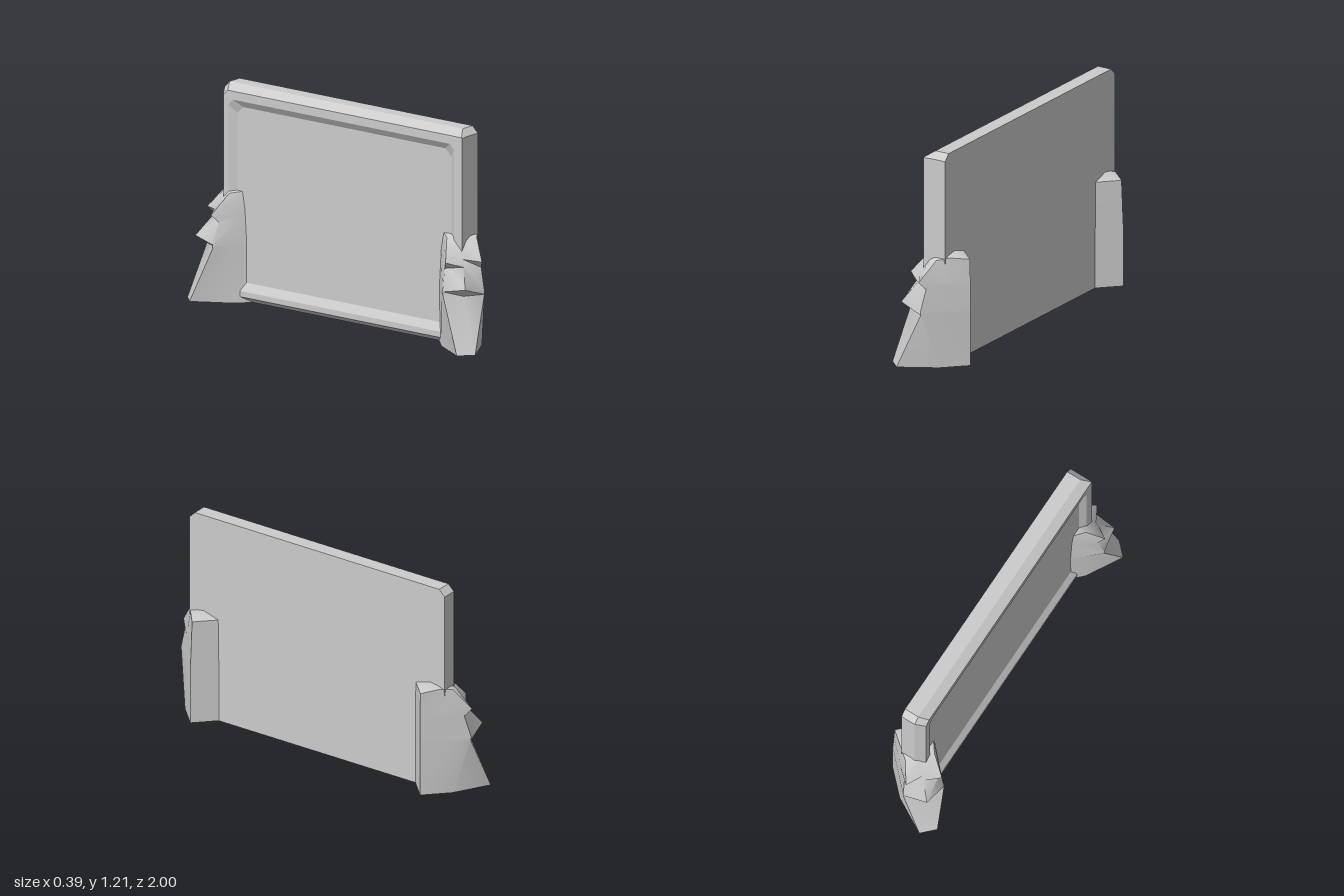
import * as THREE from 'three';
import { toCreasedNormals } from 'three/addons/utils/BufferGeometryUtils.js';

const V = (x, y, z) => new THREE.Vector3(x, y, z);

// Closed solid through rings of equal point count, each end fanned to a centre point
function loft(rings, startCentre, endCentre, crease) {
  const tris = [];
  const n = rings[0].length;
  const last = rings.length - 1;
  for (let j = 0; j < n; j++) {
    const k = (j + 1) % n;
    tris.push([startCentre, rings[0][k], rings[0][j]]);
    tris.push([endCentre, rings[last][j], rings[last][k]]);
    for (let i = 0; i < last; i++) {
      const a = rings[i][j], b = rings[i][k], c = rings[i + 1][k], d = rings[i + 1][j];
      tris.push([a, b, c], [a, c, d]);
    }
  }
  // Signed volume decides which way the faces must wind
  const volume = tris.reduce((s, [a, b, c]) => s + a.dot(b.clone().cross(c)), 0);
  if (volume < 0) tris.forEach((t) => t.reverse());
  const geometry = new THREE.BufferGeometry().setFromPoints(tris.flat());
  return toCreasedNormals(geometry, crease);
}

function centre(ring) {
  return ring.reduce((s, p) => s.add(p), V(0, 0, 0)).divideScalar(ring.length);
}

// Board: flat on +x, bevelled rim and shallow tray with sloping walls on -x
function boardGeometry() {
  const ring = (x, z0, z1, y0, y1, cut0, cut1) => [
    V(x, y0, z0), V(x, y1 - cut0, z0), V(x, y1, z0 + cut0),
    V(x, y1, z1 - cut1), V(x, y1 - cut1, z1), V(x, y0, z1),
  ];
  const rings = [
    ring(0.085, -0.845, 0.845, 0, 1.207, 0.036, 0.036),
    ring(0, -0.845, 0.845, 0, 1.207, 0.036, 0.036),
    ring(-0.052, -0.812, 0.845, 0.035, 1.172, 0.03, 0.003),
    ring(-0.052, -0.775, 0.79, 0.067, 1.125, 0.03, 0.03),
    ring(-0.027, -0.735, 0.752, 0.112, 1.087, 0.04, 0.04),
  ];
  return loft(rings, centre(rings[0]), centre(rings[4]), 0.2);
}

// Corner post, symmetric about the diagonal: u across, v outward.
// Each row: back corner, side, front edge, front middle as [u, y, v]
const postRows = [
  [[0.11, 0, -0.166], [0.11, 0, 0.01], [0.05, 0, 0.231], [0, 0, 0.231]],
  [[0.11, 0.305, -0.166], [0.112, 0.308, 0], [0.113, 0.308, 0.111], [0, 0.3, 0.113]],
  [[0.11, 0.33, -0.166], [0.112, 0.33, 0], [0.113, 0.328, 0.113], [0, 0.355, 0.194]],
  [[0.105, 0.45, -0.165], [0.106, 0.45, -0.03], [0.099, 0.45, 0.078], [0, 0.46, 0.104]],
  [[0.104, 0.49, -0.165], [0.104, 0.49, -0.03], [0.099, 0.49, 0.12], [0, 0.5, 0.092]],
  [[0.1, 0.605, -0.163], [0.091, 0.617, -0.06], [0.081, 0.605, 0.018], [0, 0.618, 0.022]],
];

function postGeometry(side) {
  const place = ([u, y, v]) =>
    V((u - v) * Math.SQRT1_2, y, side * (0.8 + (u + v) * Math.SQRT1_2));
  const flip = ([u, y, v]) => [-u, y, v];
  const rings = postRows.map(([back, flank, edge, mid]) =>
    [back, flank, edge, mid, flip(edge), flip(flank), flip(back)].map(place));
  return loft(rings, place([0, 0, 0]), place([0, 0.643, -0.075]), 0.85);
}

export function createModel() {
  const group = new THREE.Group();
  const material = new THREE.MeshStandardMaterial({ color: 0xcccccc });
  const add = (name, geometry) => {
    const mesh = new THREE.Mesh(geometry, material);
    mesh.name = name;
    group.add(mesh);
  };
  add('board', boardGeometry());
  add('frontPost', postGeometry(1));
  add('backPost', postGeometry(-1));
  return group;
}
